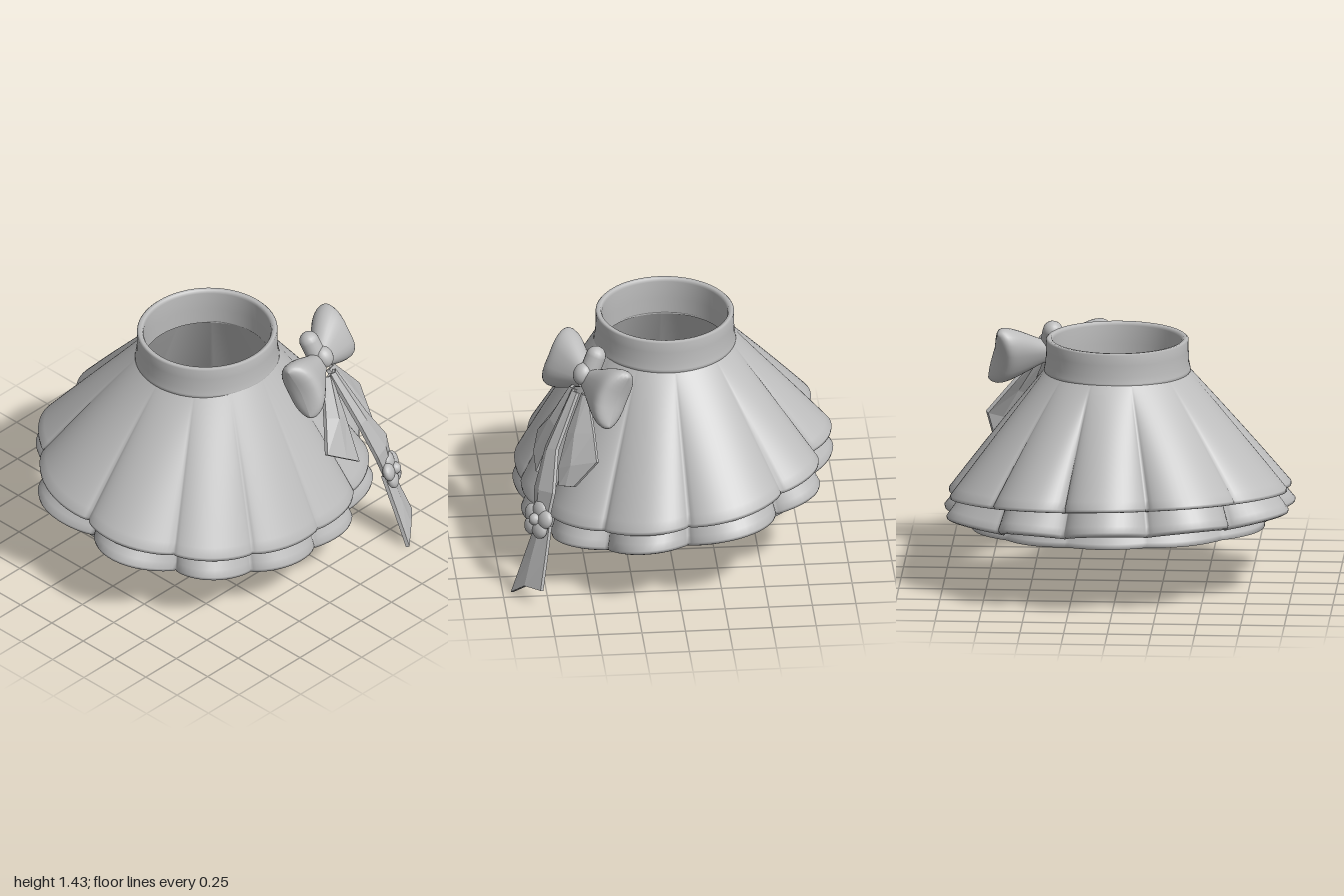
import * as THREE from 'three';

const grey = new THREE.MeshStandardMaterial({ color: 0xbcbcbc, side: THREE.DoubleSide });
grey.name = 'grey cloth';

const lerp = THREE.MathUtils.lerp;
const deg = Math.PI / 180;

// Closed-loop loft: fn(row, col) gives a point, columns wrap around
function loft(rows, cols, fn, flat = false) {
  const pos = [], index = [];
  for (let i = 0; i < rows; i++) {
    for (let j = 0; j < cols; j++) {
      pos.push(...fn(i, j));
      if (i === rows - 1) continue;
      const a = i * cols + j, b = i * cols + (j + 1) % cols;
      index.push(a, a + cols, b, b, a + cols, b + cols);
    }
  }
  let g = new THREE.BufferGeometry();
  g.setAttribute('position', new THREE.Float32BufferAttribute(pos, 3));
  g.setIndex(index);
  if (flat) g = g.toNonIndexed();
  g.computeVertexNormals();
  return g;
}

function add(parent, name, geometry) {
  const mesh = new THREE.Mesh(geometry, grey);
  mesh.name = name;
  parent.add(mesh);
  return mesh;
}

// Pleat notches: angle from the front towards +x, and depth
const notches = [[5, 0.035], [33, 0.05], [62, 0.06], [93, 0.1], [131, 0.07], [161, 0.12],
  [194, 0.13], [229, 0.06], [269, 0.07], [303, 0.06], [333, 0.05], [365, 0.035]];
const STEPS = 18;
const COLS = 11 * STEPS;

function pleat(j) {
  const k = Math.floor(j / STEPS), p = (j % STEPS) / STEPS;
  const s = (1 - Math.cos(p * Math.PI)) / 2 * 0.6 + p * 0.4; // denser near the notches
  const [a, b] = [notches[k], notches[k + 1]];
  return { theta: lerp(a[0], b[0], s) * deg, s, depth: lerp(a[1], b[1], s) };
}

// Hem lines before pleating: outer skirt, ruffle and lining
function hem(theta) {
  const c = Math.cos(theta), sn = Math.sin(theta);
  const front = Math.max(0, c), back = Math.max(0, -c);
  const r = 0.945 + 0.055 * sn * sn - 0.075 * front ** 2;
  const y = 0.555 - 0.13 * front + 0.1 * back - 0.03 * sn;
  return {
    r,
    y,
    ruffleR: r + 0.01 + 0.025 * sn * sn,
    ruffleY: y - 0.1 - 0.03 * front - 0.035 * back,
    liningR: 0.83 + 0.04 * sn * sn - 0.03 * front,
    liningY: 0.345 - 0.08 * front + 0.045 * back - 0.012 * sn,
  };
}

// Point on the outer skirt; t runs from waist (0) to hem (1)
function skirtPoint(j, t, inset = 0) {
  const { theta, s, depth } = pleat(j), h = hem(theta);
  const dip = depth * (1 - Math.sin(Math.PI * s) ** 0.6) * t ** 1.1;
  return {
    theta,
    r: lerp(0.405, h.r, t) - dip - inset + 0.006 * Math.sin(Math.PI * t),
    y: lerp(1.25, h.y, t) - dip * 0.25 - inset * 0.6,
    off: 0.012 * (1 - t),
  };
}

const place = ({ theta, r, y, off }) => [off + r * Math.sin(theta), y, off + r * Math.cos(theta)];

// Point on the ruffle; s runs from its hidden top edge (0) to its hem (1)
function rufflePoint(j, s, inset) {
  const top = skirtPoint(j, 0.76, 0.035);
  const p = pleat(j), h = hem(p.theta);
  const dip = (h.ruffleR - h.liningR - 0.01) * (1 - Math.sin(Math.PI * p.s) ** 0.75);
  return {
    theta: p.theta,
    r: lerp(top.r, h.ruffleR - dip, s) - inset,
    y: lerp(top.y, h.ruffleY - dip * 0.35, s) - inset * 0.8,
    off: 0,
  };
}

// Point on the lining, with soft folds towards its hem
function liningPoint(j, t, inset) {
  const { theta, s } = pleat(j), h = hem(theta);
  const fold = 0.03 * (1 - Math.sin(Math.PI * s)) * t;
  return {
    theta,
    r: lerp(0.38, h.liningR, t) - fold - inset,
    y: lerp(1.22, h.liningY, t) - inset * 0.5,
    off: 0.01 * (1 - t),
  };
}

// Thin tapered cloth strip from rows of left, middle and right points
function strip(rows) {
  const v = rows.map(r => r.map(p => new THREE.Vector3(...p)));
  const last = v[v.length - 1];
  const n = last[1].clone().sub(v[0][1]).cross(last[2].clone().sub(last[0])).normalize();
  const pts = [v[0], ...v, last];
  return loft(pts.length, 6, (i, j) => {
    const thick = i === 0 || i === pts.length - 1 ? 0.003 : 0.022;
    const p = pts[i][j < 3 ? j : 5 - j].clone();
    if (j === 1 || j === 4) p.addScaledVector(n, 0.006);
    if (j > 2) p.addScaledVector(n, -thick);
    return p.toArray();
  }, true);
}

export function createModel() {
  const model = new THREE.Group();
  model.name = 'pleatedSkirt';

  // Waistband: rounded hollow ring with a small seam at its base
  const profile = [[0.375, 1.2], [0.372, 1.3], [0.37, 1.41], [0.378, 1.428], [0.398, 1.43], [0.408, 1.42],
    [0.408, 1.36], [0.411, 1.29], [0.418, 1.255], [0.42, 1.24], [0.41, 1.225], [0.375, 1.2]];
  const band = add(model, 'waistband', new THREE.LatheGeometry(
    profile.reverse().map(p => new THREE.Vector2(...p)), 64));
  band.position.set(0.012, 0, 0.01);
  band.scale.z = 0.97;

  // Main skirt: outer face down, rolled hem, inner face a little way up
  const outer = [];
  for (let i = 0; i <= 16; i++) outer.push([i / 16, 0]);
  outer.push([1.02, 0.012], [1.015, 0.026], [1, 0.03], [0.85, 0.03], [0.7, 0.03]);
  add(model, 'skirt', loft(outer.length, COLS, (i, j) => place(skirtPoint(j, ...outer[i]))));

  // Ruffle layer showing beneath the hem, tucked back to the lining
  const under = [];
  for (let i = 0; i <= 8; i++) under.push([i / 8, 0]);
  under.push([1.04, 0.012], [1.03, 0.03], [1, 0.035], [0.75, 0.035], [0.5, 0.035]);
  add(model, 'ruffle', loft(under.length, COLS, (i, j) => place(rufflePoint(j, ...under[i]))));

  // Smooth lining cone with a folded hem
  const inner = [[0, 0], [0.4, 0], [0.8, 0], [0.97, 0], [1, 0.008], [0.99, 0.022], [0.8, 0.025], [0.4, 0.022], [0, 0.012]];
  add(model, 'lining', loft(inner.length, COLS, (i, j) => place(liningPoint(j, ...inner[i]))));

  // Bow, turned outwards and leaning back along the skirt
  const bow = new THREE.Group();
  bow.name = 'bow';
  bow.position.set(0.43, 1.225, 0.49);
  bow.rotation.set(-25 * deg, 26 * deg, 0, 'YXZ');
  model.add(bow);
  const wing = loft(19, 28, (i, j) => {
    const v = Math.sin(i / 18 * Math.PI / 2), u = j / 28 * Math.PI * 2, c = Math.cos(u);
    const h = (0.065 + 0.12 * Math.sin(v * Math.PI / 2) ** 1.3) * (1 - 0.16 * v ** 20);
    const thick = 0.125 * Math.sqrt(Math.max(0, 1 - v ** 9)) * (0.4 + 0.6 * v);
    const x = 0.015 + 0.335 * v * (1 - 0.08 * (1 - Math.abs(c)) * v);
    return [x, h * Math.sign(c) * Math.abs(c) ** 0.75, -thick * Math.sin(u)];
  });
  add(bow, 'bowLoopLeft', wing);
  add(bow, 'bowLoopRight', wing).rotation.y = Math.PI;
  const knot = add(bow, 'bowKnot', new THREE.SphereGeometry(0.06, 24, 16));
  knot.scale.set(0.95, 1.1, 0.9);
  knot.position.set(0, 0.02, 0.045);
  const wrap = add(bow, 'bowWrap', new THREE.CapsuleGeometry(0.058, 0.1, 6, 16));
  wrap.position.set(0, 0.09, 0.005);

  // Bow tails
  add(model, 'tailRight', strip([
    [[0.39, 1.17, 0.57], [0.42, 1.17, 0.59], [0.45, 1.17, 0.57]],
    [[0.31, 0.97, 0.67], [0.38, 0.95, 0.7], [0.455, 0.93, 0.68]],
    [[0.23, 0.8, 0.76], [0.35, 0.725, 0.79], [0.46, 0.65, 0.79]],
  ]));
  add(model, 'tailLeft', strip([
    [[0.48, 1.16, 0.53], [0.51, 1.16, 0.52], [0.54, 1.16, 0.5]],
    [[0.56, 0.95, 0.62], [0.62, 0.97, 0.58], [0.68, 1.0, 0.48]],
    [[0.64, 0.76, 0.68], [0.71, 0.81, 0.61], [0.79, 0.87, 0.47]],
    [[0.7, 0.68, 0.68], [0.73, 0.69, 0.64], [0.76, 0.7, 0.6]],
  ]));

  // Long ribbon reaching down to the flower, then a notched end
  add(model, 'longRibbon', strip([
    [[0.44, 1.17, 0.58], [0.47, 1.17, 0.58], [0.5, 1.17, 0.56]],
    [[0.52, 0.85, 0.74], [0.57, 0.86, 0.73], [0.62, 0.87, 0.69]],
    [[0.59, 0.62, 0.81], [0.67, 0.64, 0.79], [0.75, 0.66, 0.72]],
    [[0.65, 0.46, 0.82], [0.7, 0.46, 0.81], [0.76, 0.47, 0.76]],
  ]));
  add(model, 'ribbonEnd', strip([
    [[0.655, 0.45, 0.8], [0.71, 0.45, 0.78], [0.76, 0.45, 0.74]],
    [[0.68, 0.22, 0.88], [0.75, 0.24, 0.84], [0.82, 0.27, 0.77]],
    [[0.7, 0.005, 0.955], [0.785, 0.085, 0.88], [0.88, 0.1, 0.8]],
  ]));

  // Five-petalled flower
  const flower = new THREE.Group();
  flower.name = 'flower';
  flower.position.set(0.71, 0.475, 0.8);
  flower.rotation.set(-18 * deg, 34 * deg, 0, 'YXZ');
  model.add(flower);
  for (let i = 0; i < 5; i++) {
    const a = (90 + 72 * i) * deg;
    const petal = add(flower, 'petal', new THREE.SphereGeometry(0.055, 16, 12));
    petal.position.set(Math.cos(a) * 0.06, Math.sin(a) * 0.06, 0);
    petal.scale.z = 0.6;
  }
  const centre = add(flower, 'flowerCentre', new THREE.SphereGeometry(0.036, 16, 12));
  centre.position.z = 0.022;

  return model;
}
